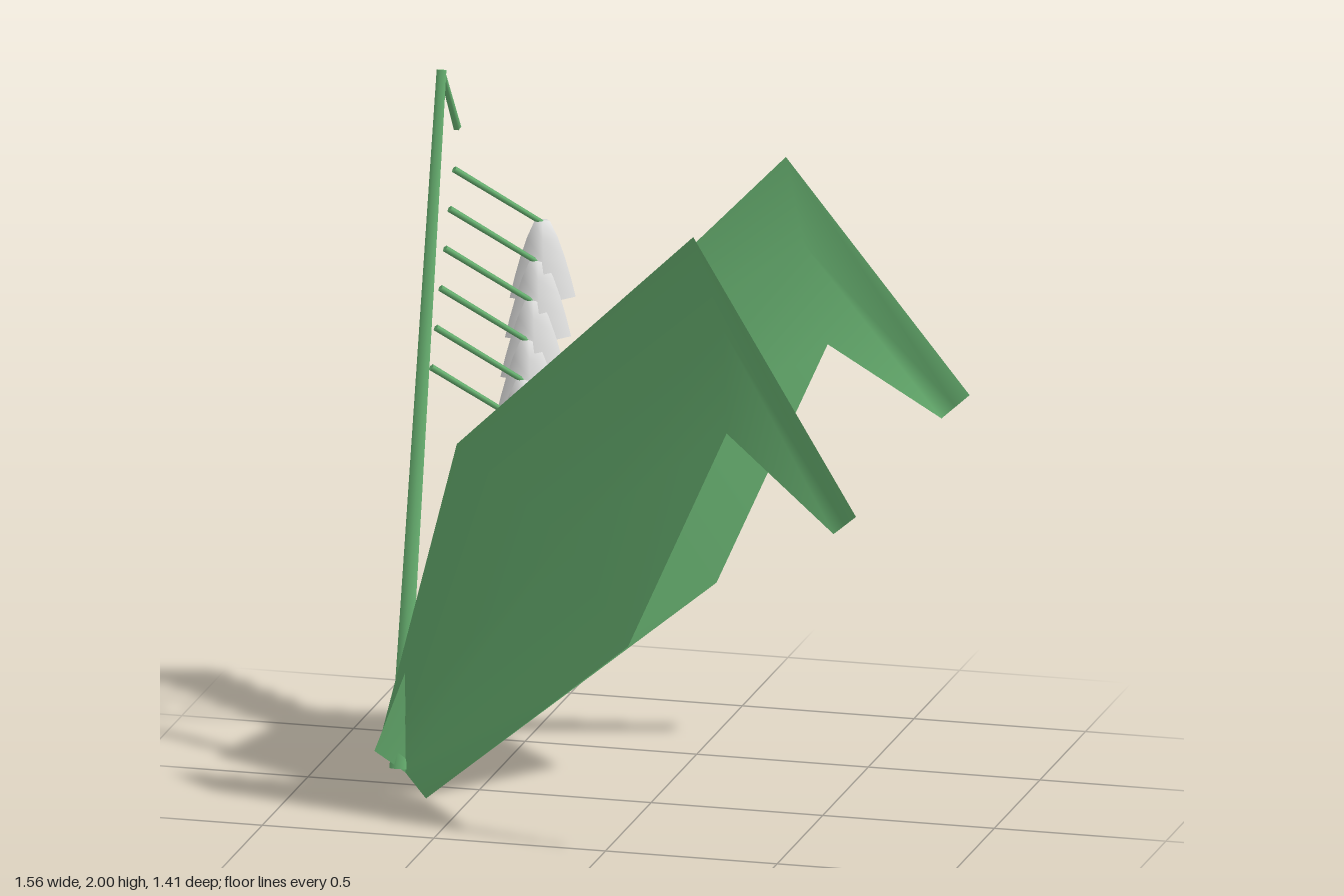
import * as THREE from 'three';

const green = new THREE.MeshStandardMaterial({ color: 0x69b372, side: THREE.DoubleSide });
green.name = 'leaf green';
const white = new THREE.MeshStandardMaterial({ color: 0xe0e0df, side: THREE.DoubleSide });
white.name = 'bell white';

function add(parent, name, geometry, material) {
  const mesh = new THREE.Mesh(geometry, material);
  mesh.name = name;
  parent.add(mesh);
  return mesh;
}

// Tapered rod between two points
function rod(parent, name, a, b, ra, rb) {
  const from = new THREE.Vector3(...a), to = new THREE.Vector3(...b);
  const dir = to.clone().sub(from);
  const mesh = add(parent, name, new THREE.CylinderGeometry(rb, ra, dir.length(), 5), green);
  mesh.position.copy(from).add(to).multiplyScalar(0.5);
  mesh.quaternion.setFromUnitVectors(new THREE.Vector3(0, 1, 0), dir.normalize());
  return mesh;
}

// Folded leaf: rows of outer edge, midrib and inner edge, with both edges curled to +z
function leafGeometry() {
  const rows = [ // outer x, outer y, inner x, inner y, curl
    [-0.09, 0.13, 0.078, 0.0, 0.007],
    [0.26, 1.095, 0.87, 0.61, 0.1],
    [1.073, 1.84, 1.192, 1.285, 0.062],
    [1.605, 1.1, 1.525, 1.035, 0],
  ];
  const points = [], index = [];
  rows.forEach(([ox, oy, ix, iy, curl], r) => {
    points.push(ox, oy, curl, (ox + ix) / 2, (oy + iy) / 2, 0, ix, iy, curl);
    if (r === 0) return;
    for (let c = 0; c < 2; c++) {
      const a = (r - 1) * 3 + c, b = a + 3;
      index.push(a, a + 1, b + 1, a, b + 1, b);
    }
  });
  const g = new THREE.BufferGeometry();
  g.setAttribute('position', new THREE.Float32BufferAttribute(points, 3));
  g.setIndex(index);
  g.computeVertexNormals();
  return g;
}

export function createModel() {
  const model = new THREE.Group();
  model.name = 'bellFlowerPlant';

  // Two leaves spreading from the same base
  const leaf = leafGeometry();
  for (const [name, angle] of [['backLeaf', 0.405], ['frontLeaf', -0.4]]) {
    const mesh = add(model, name, leaf, green);
    mesh.position.set(-0.692, 0, 0.087);
    mesh.rotation.y = angle;
  }

  // Leaning stem with a drooping tip
  rod(model, 'stem', [-0.713, 0.07, 0.085], [-0.705, 1.995, -0.36], 0.026, 0.015);
  rod(model, 'stemTip', [-0.705, 1.985, -0.365], [-0.7, 1.785, -0.507], 0.009, 0.012);

  // Row of bells, each on its own stalk
  const profile = [[0.098, -0.215], [0.084, -0.16], [0.066, -0.1], [0.046, -0.045], [0.024, 0], [0, 0.001]]
    .map(([x, y]) => new THREE.Vector2(x, y));
  const bell = new THREE.LatheGeometry(profile, 5, Math.PI / 2);
  for (let i = 0; i < 6; i++) {
    const y = 1.5 - 0.102 * i, z = -0.603 + 0.05 * i;
    const flower = new THREE.Group();
    flower.name = 'flower' + (i + 1);
    flower.position.set(-0.478, y, z);
    add(flower, 'bell', bell, white);
    rod(flower, 'stalk', [-0.217, 0.177, 0.148], [0, -0.005, 0], 0.01, 0.008);
    model.add(flower);
  }
  return model;
}
